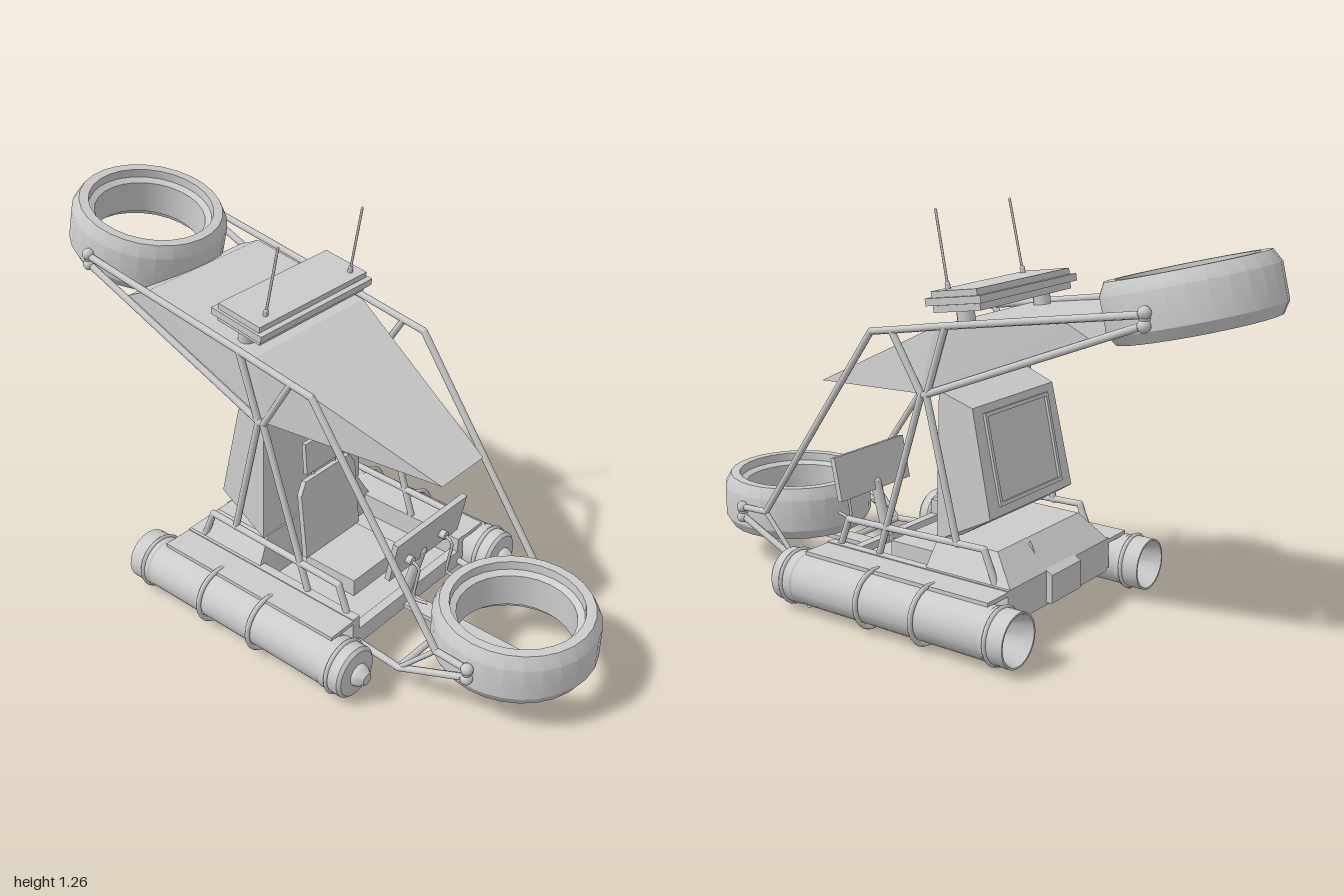
import * as THREE from 'three';
import { toCreasedNormals } from 'three/addons/utils/BufferGeometryUtils.js';
import { ConvexGeometry } from 'three/addons/geometries/ConvexGeometry.js';

const mat = new THREE.MeshStandardMaterial({ color: 0xcccccc, roughness: 0.8 });
const V = (x, y, z) => new THREE.Vector3(x, y, z);

function add(parent, name, geo, x = 0, y = 0, z = 0, rx = 0) {
  const m = new THREE.Mesh(geo, mat);
  m.name = name;
  m.position.set(x, y, z);
  m.rotation.x = rx;
  parent.add(m);
  return m;
}
const box = (w, h, d) => new THREE.BoxGeometry(w, h, d);
const lathe = (pts, seg) =>
  toCreasedNormals(new THREE.LatheGeometry(pts.map(p => new THREE.Vector2(...p)), seg), 0.5);

// side profile of [z, y] points, extruded across x
function sideProfile(pts, width) {
  const shape = new THREE.Shape(pts.map(p => new THREE.Vector2(...p)));
  return new THREE.ExtrudeGeometry(shape, { depth: width, bevelEnabled: false })
    .translate(0, 0, -width / 2).rotateY(-Math.PI / 2);
}
// convex solid from [halfWidth, y, z] points mirrored in x
const mirroredHull = pts =>
  new ConvexGeometry(pts.flatMap(([x, y, z]) => [V(x, y, z), V(-x, y, z)]));

// straight bars through points, with round joints
function pipe(parent, name, pts, r = 0.011) {
  const g = new THREE.Group();
  g.name = name;
  pts.forEach((p, i) => {
    const a = V(...p);
    add(g, 'joint', new THREE.SphereGeometry(r, 8, 6), ...p);
    if (i === pts.length - 1) return;
    const b = V(...pts[i + 1]), d = b.clone().sub(a);
    const m = add(g, 'bar', new THREE.CylinderGeometry(r, r, d.length(), 8));
    m.position.copy(a).add(b).multiplyScalar(0.5);
    m.quaternion.setFromUnitVectors(V(0, 1, 0), d.normalize());
  });
  parent.add(g);
}

// ducted lift ring with bevelled rims and a stepped bore
function liftRing(parent, name, y, z, tilt) {
  const profile = [[0.178, -0.06], [0.2, -0.07], [0.205, -0.0875], [0.23, -0.0875], [0.25, -0.055],
    [0.25, 0.05], [0.23, 0.0875], [0.2, 0.0875], [0.198, 0.06], [0.178, 0.05], [0.178, -0.06]];
  add(parent, name, lathe(profile, 28), 0, y, z, tilt);
}

// engine tube with open nozzle at the back, nose at the front and clamps
function enginePod(parent, name, side) {
  const g = new THREE.Group();
  g.name = name;
  g.position.set(side * 0.37, 0.105, 0);
  const profile = [[0, -0.32], [0.035, -0.32], [0.078, -0.44], [0.084, -0.44], [0.084, -0.36], [0.081, -0.355],
    [0.081, 0.36], [0.084, 0.365], [0.084, 0.44], [0.074, 0.45], [0.036, 0.455], [0.034, 0.468], [0.018, 0.49], [0, 0.49]];
  add(g, 'engineTube', lathe(profile, 24), 0, 0, 0, Math.PI / 2);
  for (const z of [-0.38, 0.4])
    add(g, 'endClamp', new THREE.TorusGeometry(0.085, 0.007, 6, 24), 0, 0, z);
  for (const z of [-0.12, 0.09])
    add(g, 'hoop', new THREE.TorusGeometry(0.09, 0.008, 6, 24), 0, 0, z);
  for (const z of [-0.37, 0.36])
    add(g, 'drainPin', new THREE.CylinderGeometry(0.007, 0.007, 0.02, 8), 0, -0.087, z);
  parent.add(g);
}

export function createModel() {
  const model = new THREE.Group();
  model.name = 'hoverCraft';

  // lift rings and engines
  liftRing(model, 'frontRing', 0.2125, 0.75, 0);
  liftRing(model, 'rearRing', 1.06, -0.748, 0.25);
  enginePod(model, 'leftEngine', 1);
  enginePod(model, 'rightEngine', -1);

  // hull
  add(model, 'floor', box(0.54, 0.035, 0.7), 0, 0.108, 0.01);
  add(model, 'frontSill', box(0.5, 0.03, 0.03), 0, 0.135, 0.345);
  add(model, 'rearSkirt', mirroredHull([[0.22, 0.285, -0.04], [0.22, 0.285, -0.26], [0.27, 0.2, -0.03],
    [0.27, 0.2, -0.34], [0.27, 0.1, -0.03], [0.27, 0.1, -0.34]]));
  add(model, 'rearHousing', sideProfile([[-0.2, 0.285], [-0.36, 0.19], [-0.36, 0.1], [-0.2, 0.1]].reverse()
    .concat([[-0.28, 0.285]]), 0.16));
  add(model, 'towPlank', box(0.06, 0.014, 0.44), 0, 0.1, 0.56);

  // tower behind the seat with a framed rear panel
  add(model, 'tower', mirroredHull([[0.22, 0.74, -0.045], [0.21, 0.7, -0.16], [0.22, 0.375, -0.232],
    [0.22, 0.31, -0.13], [0.235, 0.28, -0.045]]));
  const panel = new THREE.Group();
  panel.name = 'rearPanel';
  panel.position.set(0, 0.54, -0.198);
  panel.rotation.x = 0.216;
  for (const s of [-1, 1]) {
    add(panel, 'panelSide', box(0.012, 0.27, 0.012), s * 0.16, 0, 0);
    add(panel, 'panelEdge', box(0.332, 0.012, 0.012), 0, s * 0.135, 0);
  }
  model.add(panel);

  // seat
  add(model, 'seatCushion', box(0.24, 0.06, 0.2), 0, 0.155, 0.13);
  const back = new THREE.Shape([[-0.13, 0], [0.13, 0], [0.13, 0.23], [0.105, 0.27], [-0.105, 0.27], [-0.13, 0.23]]
    .map(p => new THREE.Vector2(...p)));
  add(model, 'seatBack', new THREE.ExtrudeGeometry(back, { depth: 0.018, bevelEnabled: false }), 0, 0.185, 0.025, -0.09);
  add(model, 'headrest', box(0.18, 0.11, 0.015), 0, 0.525, 0, -0.06);
  for (const s of [-1, 1])
    pipe(model, 'headrestPost', [[s * 0.05, 0.42, 0.005], [s * 0.05, 0.54, -0.01]], 0.006);

  // control console with knobs, post and cables
  add(model, 'console', box(0.345, 0.145, 0.018), 0.01, 0.37, 0.405, 0.2);
  pipe(model, 'consolePost', [[0, 0.32, 0.395], [0, 0.12, 0.34]], 0.018);
  for (const x of [-0.087, 0.08]) {
    add(model, 'consoleKnob', new THREE.CylinderGeometry(0.014, 0.014, 0.03, 12), x, 0.345, 0.415, Math.PI / 2);
    const path = new THREE.CatmullRomCurve3([V(x, 0.345, 0.42), V(x, 0.33, 0.45), V(x, 0.27, 0.445),
      V(x, 0.21, 0.44), V(x, 0.215, 0.49)]);
    add(model, 'cable', new THREE.TubeGeometry(path, 16, 0.005, 6));
  }

  // canopy
  add(model, 'canopy', mirroredHull([[0.1, 0.667, 0.53], [0.245, 0.935, -0.05], [0.25, 0.73, 0],
    [0.25, 1.0, -0.5], [0.25, 0.962, -0.58]]));

  // layered roof unit on two feet
  const roof = new THREE.Group();
  roof.name = 'roofUnit';
  roof.position.set(0, 1.01, -0.12);
  roof.rotation.x = 0.15;
  add(roof, 'lowerPlate', box(0.47, 0.02, 0.17), 0, -0.015, 0);
  add(roof, 'middlePlate', box(0.5, 0.022, 0.2), 0, 0.008, 0);
  add(roof, 'upperPlate', box(0.48, 0.02, 0.165), 0, 0.028, 0);
  for (const s of [-1, 1])
    add(roof, 'foot', new THREE.CylinderGeometry(0.027, 0.027, 0.06, 12), s * 0.195, -0.05, 0);
  model.add(roof);

  // antennas
  for (const [x0, x1] of [[-0.18, -0.173], [0.2, 0.196]]) {
    pipe(model, 'antenna', [[x0, 1.03, -0.068], [x1, 1.265, -0.018]], 0.004);
    pipe(model, 'antennaBase', [[x0, 1.03, -0.068], [x0, 1.055, -0.063]], 0.008);
  }

  // mirrored tube frame, side decks and pivots
  for (const s of [-1, 1]) {
    const x = s * 0.26;
    const run = (name, zy, r) => pipe(model, name, zy.map(([z, y]) => [x, y, z]), r);
    run('upperRail', [[-0.745, 1.05], [-0.1, 0.945], [0.1, 0.91], [0.18, 0.897], [0.65, 0.235], [0.76, 0.23]]);
    run('lowerRail', [[-0.745, 1.022], [-0.02, 0.73]]);
    run('frontStrut', [[0.16, 0.2], [-0.01, 0.73], [0.1, 0.908]]);
    run('rearStrut', [[-0.14, 0.295], [-0.03, 0.73], [-0.1, 0.945]]);
    run('handrail', [[0.32, 0.19], [0.285, 0.285], [-0.24, 0.3], [-0.285, 0.19]]);
    run('frontBrace', [[0.76, 0.2], [0.52, 0.095], [0.34, 0.11]]);
    run('consoleBrace', [[0.65, 0.235], [0.52, 0.095]], 0.008);
    for (const [z, y] of [[0.76, 0.23], [0.76, 0.195], [-0.745, 1.055], [-0.745, 1.02]])
      add(model, 'pivot', new THREE.SphereGeometry(0.019, 12, 8), x, y, z);
    for (const [z, y] of [[0.76, 0.215], [-0.745, 1.04]])
      pipe(model, 'pivotPin', [[s * 0.235, y, z], [x, y, z]], 0.014);
    add(model, 'sideWall', box(0.03, 0.1, 0.7), s * 0.265, 0.15, 0.01);
    add(model, 'sideDeck', box(0.12, 0.014, 0.7), s * 0.32, 0.19, 0.01);
  }
  pipe(model, 'frontCrossbar', [[-0.26, 0.095, 0.52], [0.26, 0.095, 0.52]]);
  return model;
}
